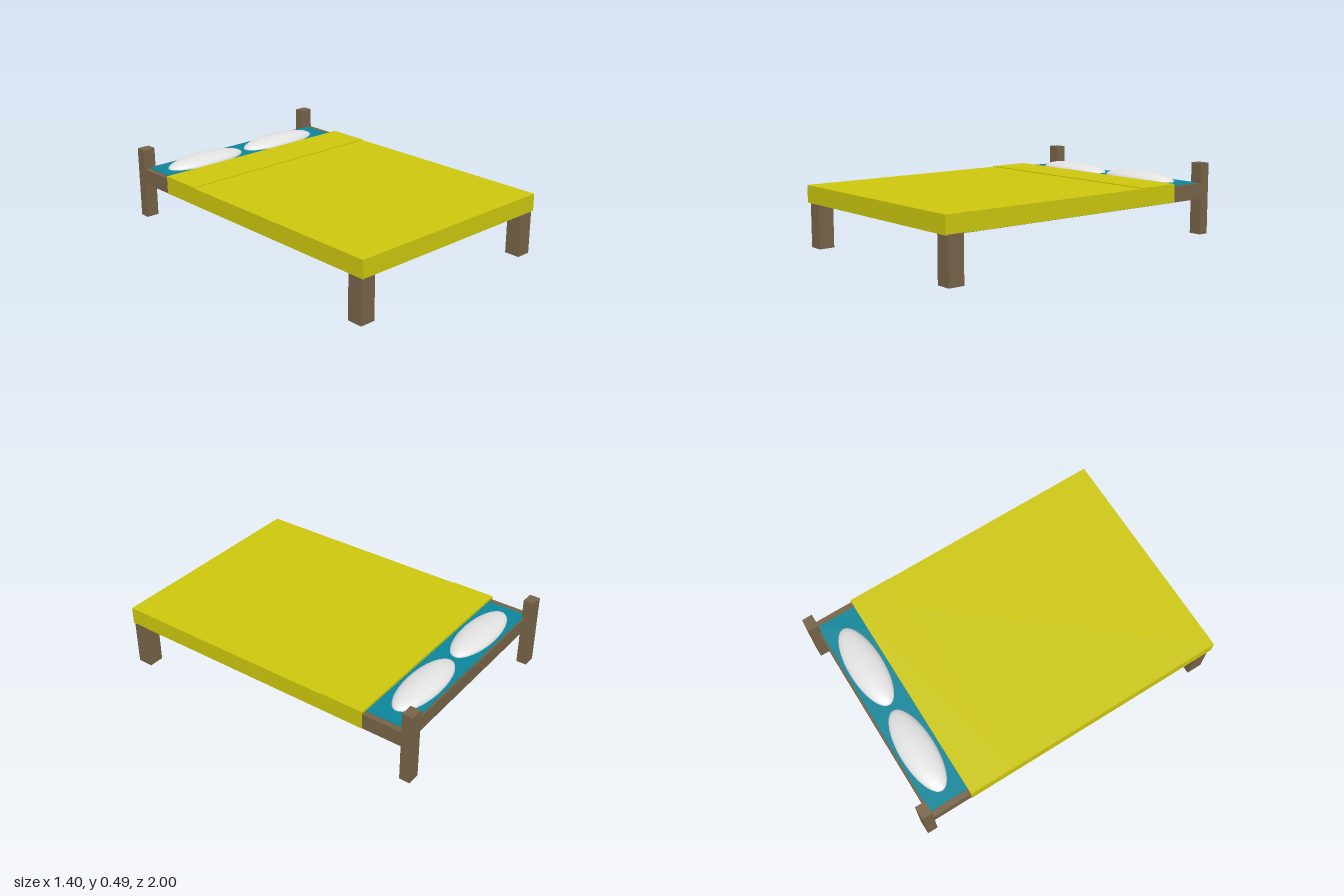
import * as THREE from 'three';

const mat = (name, color) => {
  const m = new THREE.MeshStandardMaterial({ color });
  m.name = name;
  return m;
};

export function createModel() {
  const bed = new THREE.Group();
  bed.name = 'bed';
  const wood = mat('brown wood', 0x766347);
  const yellow = mat('yellow blanket', 0xcbc60d);
  const teal = mat('teal sheet', 0x0b8599);
  const white = mat('white pillow', 0xe2e2e2);

  // Box given by its extents on each axis
  const box = (name, material, [x0, x1], [y0, y1], [z0, z1]) => {
    const mesh = new THREE.Mesh(new THREE.BoxGeometry(x1 - x0, y1 - y0, z1 - z0), material);
    mesh.position.set((x0 + x1) / 2, (y0 + y1) / 2, (z0 + z1) / 2);
    mesh.name = name;
    bed.add(mesh);
  };

  // Frame: base board, side rails, head and foot rails
  const railY = [0.27, 0.364];
  box('baseBoard', wood, [-0.66, 0.655], [0.27, 0.29], [-0.94, 0.96]);
  box('rightRail', wood, [-0.695, -0.66], railY, [-0.95, 0.993]);
  box('leftRail', wood, [0.655, 0.689], railY, [-0.95, 0.993]);
  box('headRail', wood, [-0.66, 0.655], railY, [-0.95, -0.94]);
  box('footRail', wood, [-0.66, 0.655], railY, [0.96, 0.993]);

  // Head posts and front legs
  box('rightHeadPost', wood, [-0.698, -0.618], [0.047, 0.488], [-1, -0.935]);
  box('leftHeadPost', wood, [0.61, 0.69], [0.047, 0.488], [-1, -0.935]);
  box('rightFootLeg', wood, [-0.692, -0.597], [0, 0.275], [0.888, 0.985]);
  box('leftFootLeg', wood, [0.602, 0.697], [0, 0.275], [0.888, 0.985]);

  // Mattress
  box('mattress', teal, [-0.659, 0.654], [0.29, 0.367], [-0.939, 0.959]);

  // Blanket: top, hanging sides and foot, folded-back band
  box('blanketTop', yellow, [-0.7, 0.694], [0.368, 0.378], [-0.69, 1]);
  box('blanketRightSide', yellow, [-0.7, -0.6955], [0.272, 0.368], [-0.69, 1]);
  box('blanketLeftSide', yellow, [0.6895, 0.694], [0.272, 0.368], [-0.69, 1]);
  box('blanketFoot', yellow, [-0.6955, 0.6895], [0.272, 0.368], [0.9935, 1]);
  box('blanketFold', yellow, [-0.7, 0.694], [0.378, 0.383], [-0.69, -0.42]);

  // Pillows
  [['rightPillow', -0.315], ['leftPillow', 0.283]].forEach(([name, x]) => {
    const pillow = new THREE.Mesh(new THREE.SphereGeometry(1, 40, 24), white);
    pillow.scale.set(0.279, 0.05, 0.105);
    pillow.position.set(x, 0.367, -0.817);
    pillow.name = name;
    bed.add(pillow);
  });

  return bed;
}
